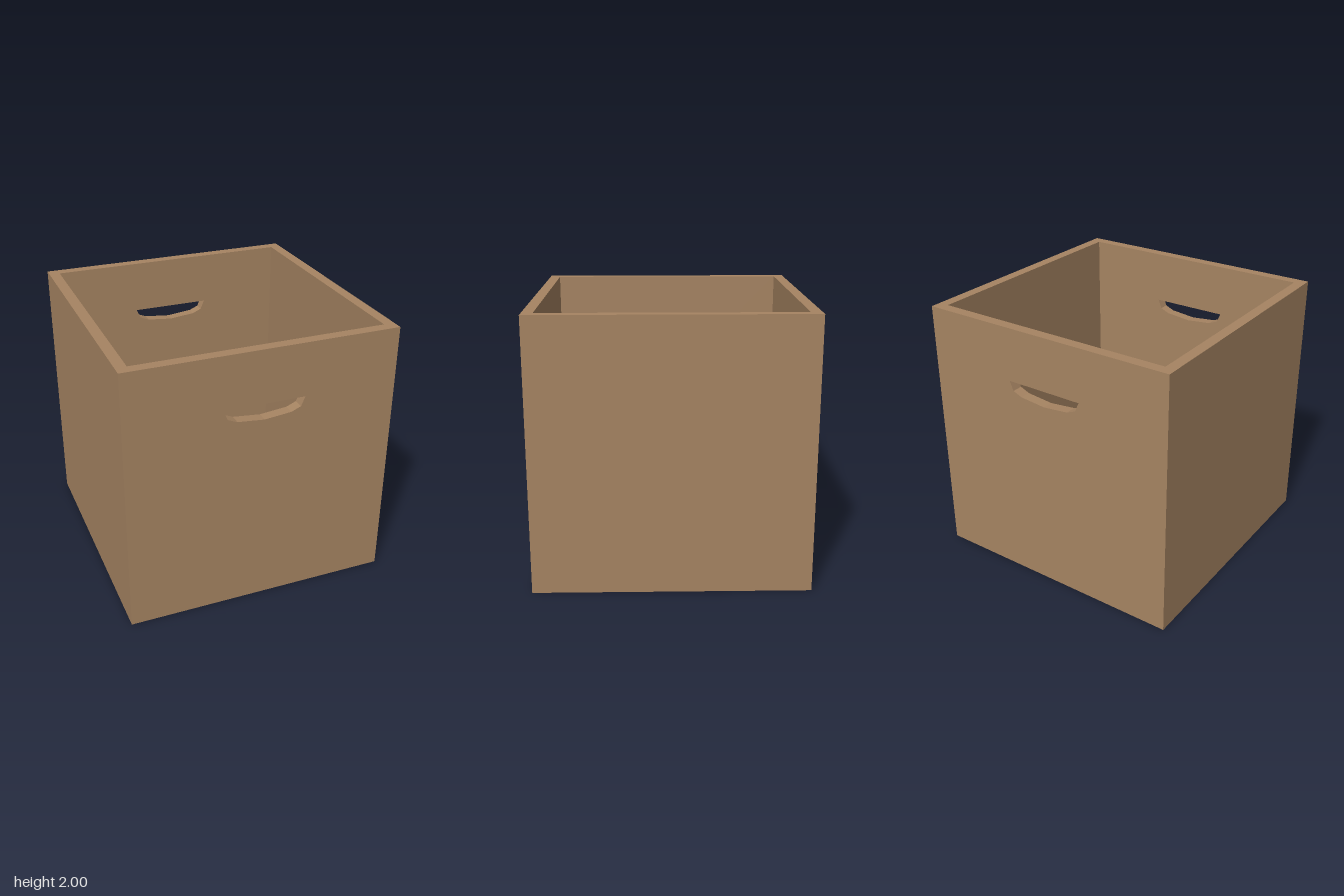
import * as THREE from 'three';

const SIZE = 2, WALL = 0.08;
const INNER = SIZE / 2 - WALL;

// Grip hole outline, counter-clockwise
const GRIP = [
  [-0.3, 1.6], [-0.27, 1.53], [-0.2, 1.5], [0, 1.48],
  [0.2, 1.5], [0.27, 1.53], [0.3, 1.6],
].map(([x, y]) => new THREE.Vector2(x, y));

function rectPoints(half, bottom, top) {
  return [[-half, bottom], [half, bottom], [half, top], [-half, top]]
    .map(([x, y]) => new THREE.Vector2(x, y));
}

// Flat sheet facing +z, with an optional hole
function sheet(outline, hole) {
  const shape = new THREE.Shape(outline);
  if (hole) shape.holes.push(new THREE.Path(hole));
  return new THREE.ShapeGeometry(shape);
}

// Inward-facing walls of the grip hole, through the panel thickness
function gripTunnel() {
  const pos = [];
  GRIP.forEach((a, i) => {
    const b = GRIP[(i + 1) % GRIP.length];
    const [o, n] = [SIZE / 2, INNER];
    pos.push(a.x, a.y, o, b.x, b.y, o, b.x, b.y, n);
    pos.push(a.x, a.y, o, b.x, b.y, n, a.x, a.y, n);
  });
  const geo = new THREE.BufferGeometry();
  geo.setAttribute('position', new THREE.Float32BufferAttribute(pos, 3));
  geo.computeVertexNormals();
  return geo;
}

export function createModel() {
  const box = new THREE.Group();
  box.name = 'storageBox';
  const wood = new THREE.MeshStandardMaterial({ color: 0xa68462 });
  wood.name = 'brown wood';

  const add = (parent, name, geo) => {
    const mesh = new THREE.Mesh(geo, wood);
    mesh.name = name;
    parent.add(mesh);
    return mesh;
  };

  // Four walls, with grips in the front and back
  ['front', 'left', 'back', 'right'].forEach((side, i) => {
    const wall = new THREE.Group();
    wall.name = side + 'Wall';
    wall.rotation.y = i * Math.PI / 2;
    const hole = i % 2 === 0 ? GRIP : null;
    add(wall, side + 'OuterFace', sheet(rectPoints(SIZE / 2, 0, SIZE), hole).translate(0, 0, SIZE / 2));
    add(wall, side + 'InnerFace', sheet(rectPoints(INNER, WALL, SIZE), hole).rotateY(Math.PI).translate(0, 0, INNER));
    if (hole) add(wall, side + 'GripEdge', gripTunnel());
    box.add(wall);
  });

  // Top rim, floor and underside
  const outer = rectPoints(SIZE / 2, -SIZE / 2, SIZE / 2);
  const inner = rectPoints(INNER, -INNER, INNER);
  add(box, 'topRim', sheet(outer, inner).rotateX(-Math.PI / 2).translate(0, SIZE, 0));
  add(box, 'floor', sheet(inner).rotateX(-Math.PI / 2).translate(0, WALL, 0));
  add(box, 'underside', sheet(outer).rotateX(Math.PI / 2));

  return box;
}
